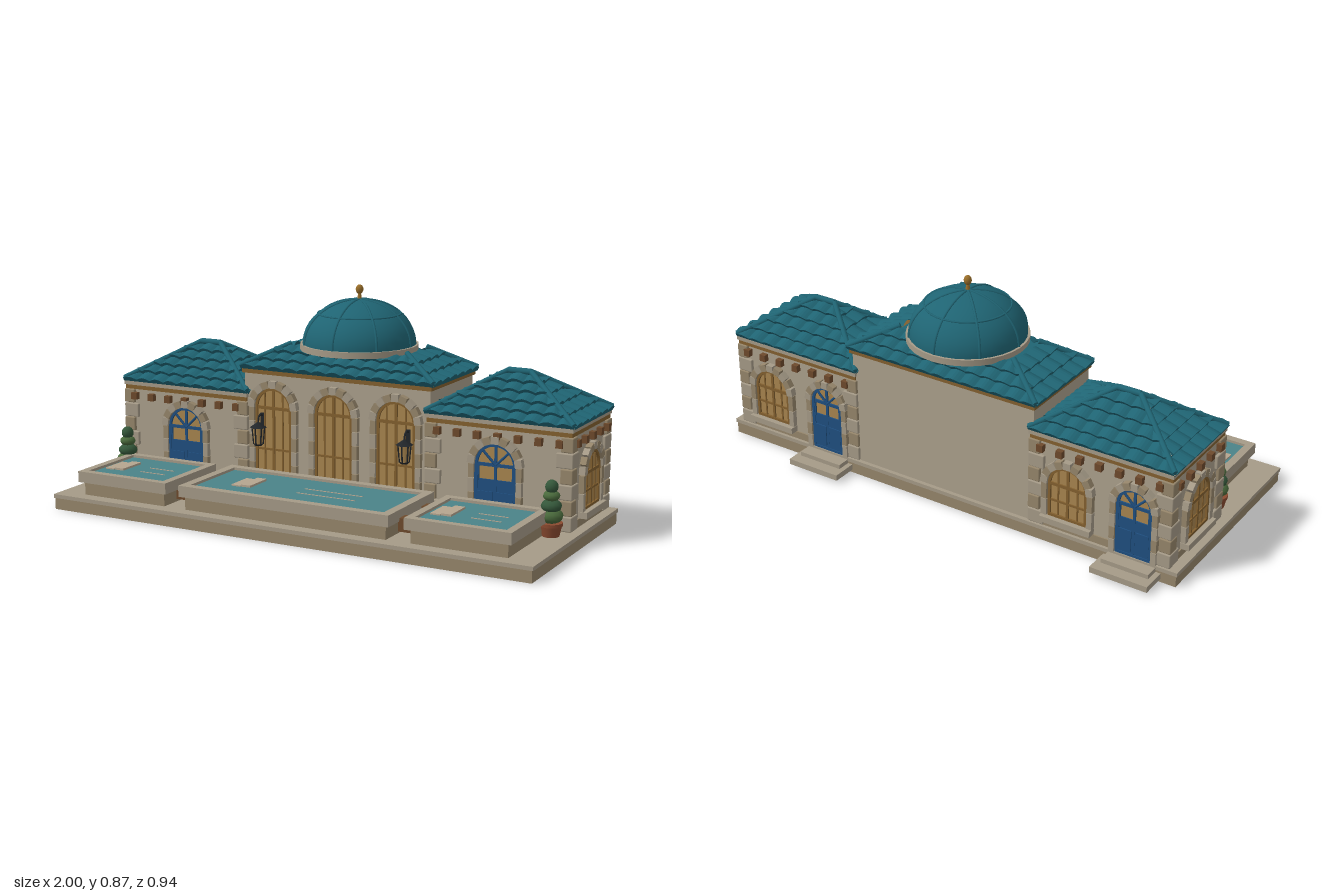
import * as THREE from 'three';
import { RoundedBoxGeometry } from 'three/addons/geometries/RoundedBoxGeometry.js';

const mat = (color, extra = {}) => new THREE.MeshStandardMaterial({ color, ...extra });
const M = {
  wall: mat(0xaba08c), stone: mat(0x96866b), trim: mat(0xa59a87), wood: mat(0x83602f),
  bracket: mat(0x6e4a2c), glass: mat(0xa8854f), blue: mat(0x1f4f80), teal: mat(0x1f6473),
  tile: mat(0x1f6473, { side: THREE.DoubleSide }), water: mat(0x4a8388), iron: mat(0x22262a),
  leaf: mat(0x4a6a3c), darkLeaf: mat(0x34573a), clay: mat(0x8a4a30), cream: mat(0xb5a58f), gold: mat(0x9a6f2a),
};
const V = (x, y, z) => new THREE.Vector3(x, y, z);

function add(parent, name, geo, material, x = 0, y = 0, z = 0) {
  const m = new THREE.Mesh(geo, material);
  m.name = name;
  m.position.set(x, y, z);
  parent.add(m);
  return m;
}
// Box given by its extents on each axis
const box = (p, name, m, x0, x1, y0, y1, z0, z1) =>
  add(p, name, new THREE.BoxGeometry(x1 - x0, y1 - y0, z1 - z0), m, (x0 + x1) / 2, (y0 + y1) / 2, (z0 + z1) / 2);
function group(parent, name, x = 0, y = 0, z = 0, ry = 0) {
  const g = new THREE.Group();
  g.name = name;
  g.position.set(x, y, z);
  g.rotation.y = ry;
  parent.add(g);
  return g;
}
function rod(p, name, a, b, r, m, sides = 6) {
  const c = add(p, name, new THREE.CylinderGeometry(r, r, a.distanceTo(b), sides), m);
  c.position.copy(a).lerp(b, 0.5);
  c.quaternion.setFromUnitVectors(V(0, 1, 0), b.clone().sub(a).normalize());
}

// One roof slope: overlapping rows of barrel tiles, clipped along the hips
function tileSlope(A, B, C, D, rows, w = 0.066) {
  const e = B.clone().sub(A), L = e.length();
  e.normalize();
  const xl = D.clone().sub(A).dot(e), xr = C.clone().sub(A).dot(e);
  const s = D.clone().sub(A).addScaledVector(e, -xl);
  const n = e.clone().cross(s).normalize();
  const cols = Math.round(L / w), N = cols * 6, pos = [], idx = [];
  for (let r = 0; r < rows; r++) {
    const start = pos.length / 3;
    for (const [t, lift] of [[r / rows, -1], [r / rows, 0.014], [(r + 1) / rows, 0]]) {
      for (let i = 0; i <= N; i++) {
        const x = Math.min(Math.max(L * i / N, xl * t), L + (xr - L) * t);
        const bump = 0.013 * Math.abs(Math.sin(Math.PI * cols * x / L));
        const p = A.clone().addScaledVector(e, x).addScaledVector(s, t).addScaledVector(n, lift < 0 ? 0 : lift + bump);
        pos.push(p.x, p.y, p.z);
      }
    }
    for (let k = 0; k < 2; k++) for (let i = 0; i < N; i++) {
      const a = start + k * (N + 1) + i, b = a + N + 1;
      idx.push(a, a + 1, b + 1, a, b + 1, b);
    }
  }
  const g = new THREE.BufferGeometry();
  g.setAttribute('position', new THREE.Float32BufferAttribute(pos, 3));
  g.setIndex(idx);
  const flat = g.toNonIndexed();
  flat.computeVertexNormals();
  return flat;
}
function hipRoof(parent, name, cx, cz, ex, ez, tx, tz, y0, y1, rows) {
  const g = group(parent, name, cx, 0, cz);
  const signs = [[-1, 1], [1, 1], [1, -1], [-1, -1]];
  const E = signs.map(([a, b]) => V(a * ex, y0, b * ez)), T = signs.map(([a, b]) => V(a * tx, y1, b * tz));
  for (let k = 0; k < 4; k++) {
    const j = (k + 1) % 4;
    add(g, 'tileSlope', tileSlope(E[k], E[j], T[j], T[k], rows), M.tile);
    const up = V(0, 0.014, 0);
    rod(g, 'hipRidge', E[k].clone().add(up), T[k].clone().add(up), 0.011, M.teal, 8);
  }
  if (tz === 0) rod(g, 'ridge', V(-tx, y1 + 0.014, 0), V(tx, y1 + 0.014, 0), 0.012, M.teal, 8);
  else box(g, 'roofCap', M.teal, -tx, tx, y1 - 0.02, y1, -tz, tz);
}

function archShape(h, y0, spring) {
  const s = new THREE.Shape();
  s.moveTo(-h, y0).lineTo(h, y0).lineTo(h, spring);
  s.absarc(0, spring, h, 0, Math.PI, false);
  s.lineTo(-h, y0);
  return s;
}
const extrude = (s, depth) => new THREE.ExtrudeGeometry(s, { depth, bevelEnabled: false, curveSegments: 14 });

// Arched opening facing local +z; a door gets blue leaves and a fan light
function archOpening(parent, name, x, z, ry, h, y0, spring, { door = false, sill = false } = {}) {
  const g = group(parent, name, x, 0, z, ry), bar = door ? M.blue : M.wood;
  add(g, 'pane', extrude(archShape(h, y0, spring), 0.006), M.glass);
  const ring = archShape(h, y0, spring);
  ring.holes.push(archShape(h - 0.01, y0 + 0.01, spring));
  add(g, 'frame', extrude(ring, 0.014), bar);
  box(g, 'mullion', bar, -0.005, 0.005, y0, spring + h, 0.004, 0.012);
  box(g, 'transom', bar, -h, h, spring - 0.006, spring + 0.006, 0.004, 0.012);
  if (door) {
    for (const s of [-1, 1]) {
      const c = s * h / 2, p = h / 2 - 0.008;
      box(g, 'doorLeaf', M.blue, c - h / 2, c + h / 2, y0, spring - 0.055, 0.002, 0.011);
      box(g, 'doorPanel', M.blue, c - p, c + p, y0 + 0.02, spring - 0.1, 0.008, 0.015);
      box(g, 'stile', M.blue, s * (h - 0.006) - 0.009, s * (h - 0.006) + 0.009, y0, spring, 0.004, 0.012);
      rod(g, 'fanBar', V(0, spring, 0.009), V(s * h * 0.7, spring + h * 0.7, 0.009), 0.005, M.blue);
    }
  } else {
    const mid = (y0 + spring) / 2;
    box(g, 'glazingBar', bar, -h, h, mid - 0.004, mid + 0.004, 0.004, 0.011);
    for (const s of [-1, 1]) box(g, 'glazingBar', bar, s * h / 2 - 0.003, s * h / 2 + 0.003, y0, spring + h * 0.82, 0.004, 0.01);
  }
  // Surrounding stones
  const n = 9, R = h + 0.014;
  for (let i = 0; i < n; i++) {
    const a = Math.PI * (i + 0.5) / n;
    const v = add(g, 'archStone', new THREE.BoxGeometry(0.028, Math.PI * R / n * 0.93, 0.024), i % 2 ? M.stone : M.trim,
      R * Math.cos(a), spring + R * Math.sin(a), 0.012);
    v.rotation.z = a;
  }
  const k = Math.max(2, Math.round((spring - y0) / 0.055)), d = (spring - y0) / k;
  for (const s of [-1, 1]) for (let i = 0; i < k; i++)
    box(g, 'jambStone', i % 2 ? M.stone : M.trim, s * R - 0.011, s * R + 0.011, y0 + i * d + 0.001, y0 + (i + 1) * d - 0.001, 0, 0.02);
  if (sill) box(g, 'sill', M.trim, -h - 0.025, h + 0.025, y0 - 0.024, y0, 0, 0.035);
}

function wing(parent, name, side) {
  const cx = 0.675 * side, hx = 0.28, z0 = -0.36, z1 = 0.02, cz = -0.17;
  const g = group(parent, name);
  box(g, 'walls', M.wall, cx - hx, cx + hx, 0.06, 0.42, z0, z1);
  box(g, 'plinth', M.stone, cx - hx - 0.006, cx + hx + 0.006, 0.06, 0.09, z0 - 0.006, z1 + 0.006);
  box(g, 'cornice', M.wood, cx - hx - 0.006, cx + hx + 0.006, 0.408, 0.425, z0 - 0.008, z1 + 0.008);
  box(g, 'eave', M.trim, cx - hx - 0.01, cx + hx + 0.01, 0.425, 0.44, z0 - 0.013, z1 + 0.013);
  hipRoof(g, 'wingRoof', cx, cz, 0.292, 0.2, 0.045, 0, 0.437, 0.578, 5);
  // Corner stones
  for (const sx of [-1, 1]) for (const [zc, sz] of [[z1, 1], [z0, -1]]) for (let i = 0; i < 6; i++) {
    const w = i % 2 ? 0.048 : 0.066, y = 0.06 + i * 0.058;
    add(g, 'cornerStone', new RoundedBoxGeometry(w, 0.055, w, 1, 0.004), i % 2 ? M.stone : M.trim,
      cx + sx * (hx + 0.012 - w / 2), y + 0.029, zc + sz * (0.012 - w / 2));
  }
  // Eave brackets
  const bracket = (x, z) => add(g, 'bracket', new THREE.BoxGeometry(0.026, 0.028, 0.026), M.bracket, x, 0.381, z);
  for (let i = 0; i < 7; i++) for (const z of [z1 + 0.008, z0 - 0.008]) bracket(cx + (i - 3) * 0.08, z);
  for (let i = 0; i < 5; i++) bracket(cx + side * (hx + 0.008), cz + (i - 2) * 0.077);
  // Openings
  archOpening(g, 'frontDoor', side * 0.67, z1, 0, 0.08, 0.06, 0.275, { door: true });
  archOpening(g, 'sideWindow', cx + side * hx, cz, side * Math.PI / 2, 0.08, 0.115, 0.25, { sill: true });
  archOpening(g, 'backDoor', cx - 0.145, z0, Math.PI, 0.07, 0.06, 0.265, { door: true });
  archOpening(g, 'backWindow', cx + 0.125, z0, Math.PI, 0.08, 0.115, 0.25, { sill: true });
  // Back steps
  const sx = cx - 0.145;
  box(g, 'lowerStep', M.trim, sx - 0.115, sx + 0.115, 0.012, 0.035, -0.475, -0.37);
  box(g, 'upperStep', M.trim, sx - 0.095, sx + 0.095, 0.035, 0.052, -0.43, -0.36);
}

function pool(parent, name, x0, x1, z0, z1, rim) {
  const g = group(parent, name), i = 0.018;
  box(g, 'poolBase', M.stone, x0 + i, x1 - i, 0.06, 0.115, z0 + i, z1 - i);
  for (const z of [z0, z1 - rim]) box(g, 'rim', M.trim, x0, x1, 0.112, 0.155, z, z + rim);
  for (const x of [x0, x1 - rim]) box(g, 'rim', M.trim, x, x + rim, 0.112, 0.155, z0 + rim, z1 - rim);
  box(g, 'water', M.water, x0 + rim, x1 - rim, 0.115, 0.145, z0 + rim, z1 - rim);
  // Floating loungers and ripples
  const w = x1 - x0, lx = x0 + w * (w > 0.6 ? 0.22 : 0.21), cz = (z0 + z1) / 2;
  box(g, 'lounger', M.cream, lx - 0.04, lx, 0.145, 0.15, cz - 0.05, cz + 0.06);
  box(g, 'lounger', M.cream, lx, lx + 0.04, 0.145, 0.153, cz - 0.065, cz + 0.055);
  for (const dz of [-0.03, 0.035]) box(g, 'ripple', M.cream, x0 + w * 0.48, x0 + w * 0.76, 0.145, 0.147, cz + dz, cz + dz + 0.004);
}

function topiary(parent, x) {
  const g = group(parent, 'topiary', x, 0, 0.092);
  add(g, 'pot', new THREE.CylinderGeometry(0.041, 0.032, 0.04, 12), M.clay, 0, 0.08, 0);
  add(g, 'potRim', new THREE.CylinderGeometry(0.043, 0.043, 0.012, 12), M.clay, 0, 0.104, 0);
  [[0.134, 0.044], [0.17, 0.038], [0.207, 0.031], [0.24, 0.024]].forEach(([y, r], i) =>
    add(g, 'foliage', new THREE.SphereGeometry(r, 12, 8), i % 2 ? M.darkLeaf : M.leaf, 0, y, 0).scale.y = i < 3 ? 0.65 : 1.05);
}

function lantern(parent, x) {
  const g = group(parent, 'lantern', x, 0, 0.06);
  add(g, 'lampGlass', new THREE.CylinderGeometry(0.023, 0.017, 0.065, 6), M.glass, 0, 0.285, 0);
  for (let i = 0; i < 6; i++) {
    const a = i * Math.PI / 3, c = Math.sin(a), d = Math.cos(a);
    rod(g, 'lampBar', V(0.018 * c, 0.252, 0.018 * d), V(0.024 * c, 0.318, 0.024 * d), 0.003, M.iron);
  }
  add(g, 'lampFoot', new THREE.CylinderGeometry(0.02, 0.014, 0.008, 6), M.iron, 0, 0.25, 0);
  add(g, 'lampCap', new THREE.ConeGeometry(0.034, 0.024, 6), M.iron, 0, 0.33, 0);
  const arm = new THREE.CatmullRomCurve3([V(0, 0.34, 0), V(0, 0.358, -0.004), V(0, 0.367, -0.018), V(0, 0.355, -0.04)]);
  add(g, 'bracketArm', new THREE.TubeGeometry(arm, 10, 0.004, 6), M.iron);
  box(g, 'backPlate', M.iron, -0.008, 0.008, 0.27, 0.37, -0.042, -0.03);
}

export function createModel() {
  const root = new THREE.Group();
  root.name = 'poolVilla';

  // Terrace
  box(root, 'terraceBase', M.stone, -0.995, 0.995, 0, 0.045, -0.375, 0.467);
  box(root, 'terraceSlab', M.trim, -1, 1, 0.045, 0.06, -0.378, 0.47);

  // Central hall
  const hall = group(root, 'centralHall');
  box(hall, 'walls', M.wall, -0.4, 0.4, 0.06, 0.525, -0.362, 0.018);
  box(hall, 'cornice', M.wood, -0.408, 0.408, 0.522, 0.538, -0.372, 0.026);
  hipRoof(hall, 'hallRoof', 0, -0.175, 0.415, 0.2, 0.25, 0.085, 0.537, 0.62, 3);
  for (const x of [-0.265, 0, 0.265]) archOpening(hall, 'tallWindow', x, 0.019, 0, 0.08, 0.065, 0.392);

  // Dome with ribs, band and finial
  const dome = group(root, 'dome', 0, 0, -0.18), R = 0.221, H = 0.17;
  add(dome, 'domeRing', new THREE.CylinderGeometry(0.23, 0.23, 0.024, 32), M.trim, 0, 0.629, 0);
  const shell = add(dome, 'domeShell', new THREE.SphereGeometry(R, 32, 10, 0, Math.PI * 2, 0, Math.PI / 2), M.teal, 0, 0.641, 0);
  shell.scale.y = H / R;
  for (let i = 0; i < 8; i++) {
    const a = i * Math.PI / 4, pts = [];
    for (let k = 0; k <= 8; k++) {
      const t = k * Math.PI / 16, r = R * Math.cos(t);
      pts.push(V(r * Math.sin(a), 0.641 + H * Math.sin(t), r * Math.cos(a)));
    }
    add(dome, 'domeRib', new THREE.TubeGeometry(new THREE.CatmullRomCurve3(pts), 16, 0.005, 6), M.teal);
  }
  add(dome, 'domeBand', new THREE.TorusGeometry(0.161, 0.004, 6, 32), M.teal, 0, 0.757, 0).rotation.x = Math.PI / 2;
  add(dome, 'finialStem', new THREE.CylinderGeometry(0.006, 0.01, 0.03, 8), M.gold, 0, 0.82, 0);
  add(dome, 'finialBall', new THREE.SphereGeometry(0.015, 12, 8), M.gold, 0, 0.85, 0).scale.y = 1.25;

  // Pools
  pool(root, 'mainPool', -0.44, 0.44, 0.06, 0.437, 0.034);
  pool(root, 'leftPool', 0.5, 0.905, 0.08, 0.435, 0.03);
  pool(root, 'rightPool', -0.905, -0.5, 0.08, 0.435, 0.03);

  // Mirrored wings, spillways, planting and lamps
  for (const s of [1, -1]) {
    wing(root, s > 0 ? 'leftWing' : 'rightWing', s);
    topiary(root, s * 0.913);
    lantern(root, s * 0.316);
    const sp = group(root, 'spillway', s * 0.472);
    for (const z of [0.145, 0.325]) box(sp, 'spillBox', M.bracket, -0.036, 0.036, 0.075, 0.125, z - 0.024, z + 0.024);
    [0.19, 0.235, 0.28].forEach((z) => box(sp, 'spillStep', M.trim, -0.03, 0.03, 0.06, 0.1, z - 0.02, z + 0.02));
  }
  return root;
}
